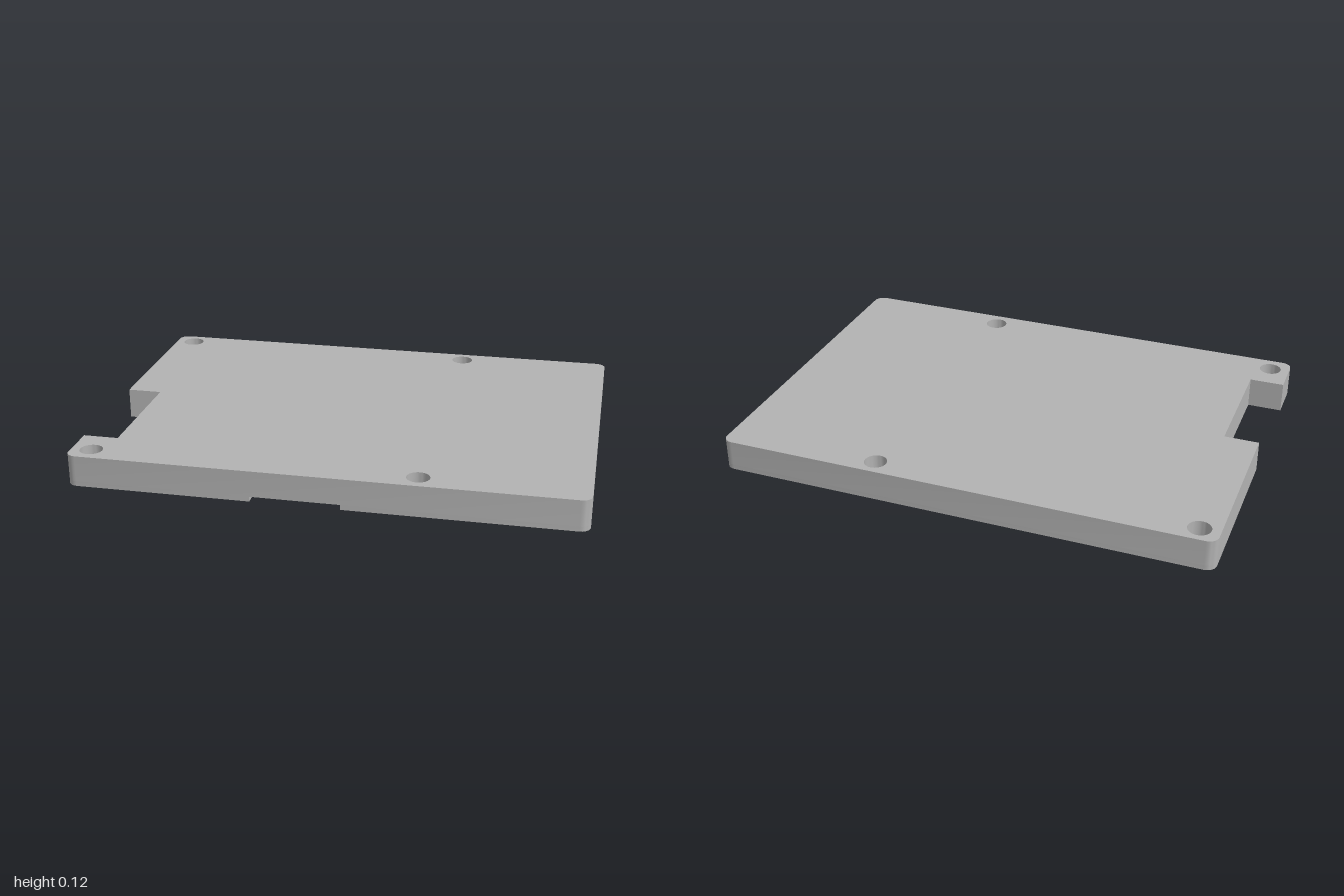
import * as THREE from 'three';
import { mergeGeometries, toCreasedNormals } from 'three/addons/utils/BufferGeometryUtils.js';

const TOP = 0.125, SLOT = 0.02, HALF_Z = 0.715, R = 0.04;

// Plan points are (x, z); always returned counter-clockwise
const loop = (pairs) => {
  const pts = pairs.map(([x, z]) => new THREE.Vector2(x, z));
  return THREE.ShapeUtils.isClockWise(pts) ? pts.reverse() : pts;
};
const rect = (x0, x1, z0, z1) => loop([[x0, z0], [x1, z0], [x1, z1], [x0, z1]]);
const circle = (x, z, r, n = 32) => loop(Array.from({ length: n }, (_, i) => {
  const a = (i / n) * Math.PI * 2;
  return [x + r * Math.cos(a), z + r * Math.sin(a)];
}));

// Flat face at height y, facing down unless up is true
function cap(outline, holes, y, up = false) {
  const shape = new THREE.Shape(outline);
  shape.holes = holes.map((h) => new THREE.Path(h));
  const g = new THREE.ShapeGeometry(shape);
  g.rotateX(Math.PI / 2).translate(0, y, 0);
  if (up) {
    g.index.array.reverse();
    g.computeVertexNormals();
  }
  return g.toNonIndexed();
}

// Vertical wall along a closed loop, facing outward or into the pocket
function wall(pts, y0, y1, outward) {
  const pos = [];
  pts.forEach((p, i) => {
    const q = pts[(i + 1) % pts.length];
    const [a, b] = outward ? [q, p] : [p, q];
    pos.push(a.x, y0, a.y, b.x, y0, b.y, b.x, y1, b.y, a.x, y0, a.y, b.x, y1, b.y, a.x, y1, a.y);
  });
  const g = new THREE.BufferGeometry();
  g.setAttribute('position', new THREE.Float32BufferAttribute(pos, 3));
  g.computeVertexNormals();
  return toCreasedNormals(g, 0.6);
}

// Plate outline with rounded corners and side notch; optionally the front slot
function plateOutline(withSlot) {
  const pts = [];
  const corner = (sx, sz, start) => {
    for (let i = 0; i <= 6; i++) {
      const a = start + (i / 6) * Math.PI / 2;
      pts.push([sx * (1 - R) + R * Math.cos(a), sz * (HALF_Z - R) + R * Math.sin(a)]);
    }
  };
  corner(-1, -1, Math.PI);
  corner(1, -1, Math.PI * 1.5);
  corner(1, 1, 0);
  if (withSlot) pts.push([0.08, HALF_Z], [0.08, 0.45], [-0.27, 0.45], [-0.27, HALF_Z]);
  corner(-1, 1, Math.PI / 2);
  pts.push([-1, 0.515], [-0.86, 0.515], [-0.86, 0.01], [-1, 0.01]);
  return loop(pts);
}

export function createModel() {
  const group = new THREE.Group();
  const grey = new THREE.MeshStandardMaterial({ color: 0xb3b3b3 });
  grey.name = 'plainGrey';
  const add = (name, geometries) => {
    const parts = geometries.map((g) => { g.deleteAttribute('uv'); return g; });
    const mesh = new THREE.Mesh(mergeGeometries(parts), grey);
    mesh.name = name;
    group.add(mesh);
  };

  // Screw holes through the plate
  const screws = [];
  for (const x of [-0.92, 0.36]) for (const z of [-0.645, 0.64]) screws.push(circle(x, z, 0.045));

  // Rectangular underside pockets: x0, x1, z0, z1, depth
  const rects = [
    [-0.63, -0.11, -0.6, -0.51, 0.06],
    [-0.97, -0.71, -0.43, -0.09, 0.06],
    [-0.81, -0.61, -0.03, 0.41, 0.06],
    [0.67, 0.92, -0.66, -0.57, 0.06],
    [0.67, 0.92, 0.57, 0.66, 0.06],
    [0.03, 0.12, -0.61, -0.5, 0.05],
    [0.78, 0.94, -0.5, -0.36, 0.06],
    [0.69, 0.87, -0.26, 0.09, 0.07],
    [0.42, 0.6, -0.17, 0, 0.07],
    [0.31, 0.47, 0.07, 0.23, 0.06],
    [0.78, 0.95, 0.29, 0.48, 0.08],
    [0.62, 0.76, 0.16, 0.36, 0.07],
    [0.28, 0.42, 0.42, 0.56, 0.06],
    [-0.51, -0.2, 0.22, 0.33, 0.05],
    [-0.38, -0.3, 0.45, 0.53, 0.04],
  ];
  // Pairs of small pockets near the two edges
  for (const x of [0.47, 0.55]) {
    rects.push([x, x + 0.05, -0.66, -0.56, 0.04], [x, x + 0.05, 0.5, 0.62, 0.04]);
  }
  const pockets = rects.map(([x0, x1, z0, z1, depth]) => ({ pts: rect(x0, x1, z0, z1), depth }));

  // Irregular pockets
  const addPocket = (depth, pairs) => pockets.push({ pts: loop(pairs), depth });
  addPocket(0.06, [[-0.23, 0.075], [-0.38, 0], [-0.48, -0.17], [-0.67, -0.16], [-0.62, -0.27],
    [-0.54, -0.34], [-0.26, -0.36], [-0.26, -0.18], [-0.21, -0.07]]);
  addPocket(0.08, [[0.45, -0.52], [0.28, -0.52], [0.28, -0.4], [0.13, -0.4], [0.13, -0.48], [-0.03, -0.48],
    [-0.03, 0.05], [0.05, 0.05], [0.05, -0.22], [0.28, -0.22], [0.28, -0.29], [0.45, -0.29]]);
  addPocket(0.06, [[0.25, 0.61], [0.16, 0.61], [0.16, 0.53], [0.1, 0.53], [0.1, 0.38], [-0.17, 0.38],
    [-0.17, 0.24], [0.2, 0.24], [0.2, 0.35], [0.25, 0.35]]);
  addPocket(0.06, [[-0.74, 0.43], [-0.65, 0.43], [-0.65, 0.53], [-0.44, 0.53], [-0.44, 0.66], [-0.74, 0.66]]);

  // Plate faces and outer walls
  const full = plateOutline(false), slotted = plateOutline(true);
  add('topFace', [cap(full, screws, TOP, true)]);
  add('bottomFace', [cap(slotted, [...screws, ...pockets.map((p) => p.pts)], 0)]);
  add('outerWalls', [wall(full, SLOT, TOP, true), wall(slotted, 0, SLOT, true)]);
  add('screwHoles', screws.map((s) => wall(s, 0, TOP, false)));

  // Shallow front slot with a small socket in it
  const socket = rect(-0.09, -0.03, 0.56, 0.62);
  add('frontSlot', [
    cap(rect(-0.27, 0.08, 0.45, HALF_Z), [socket], SLOT),
    wall(socket, SLOT, 0.06, false),
    cap(socket, [], 0.06),
  ]);

  // Pocket walls and floors
  add('pocketWalls', pockets.map((p) => wall(p.pts, 0, p.depth, false)));
  add('pocketFloors', pockets.map((p) => cap(p.pts, [], p.depth)));
  return group;
}
